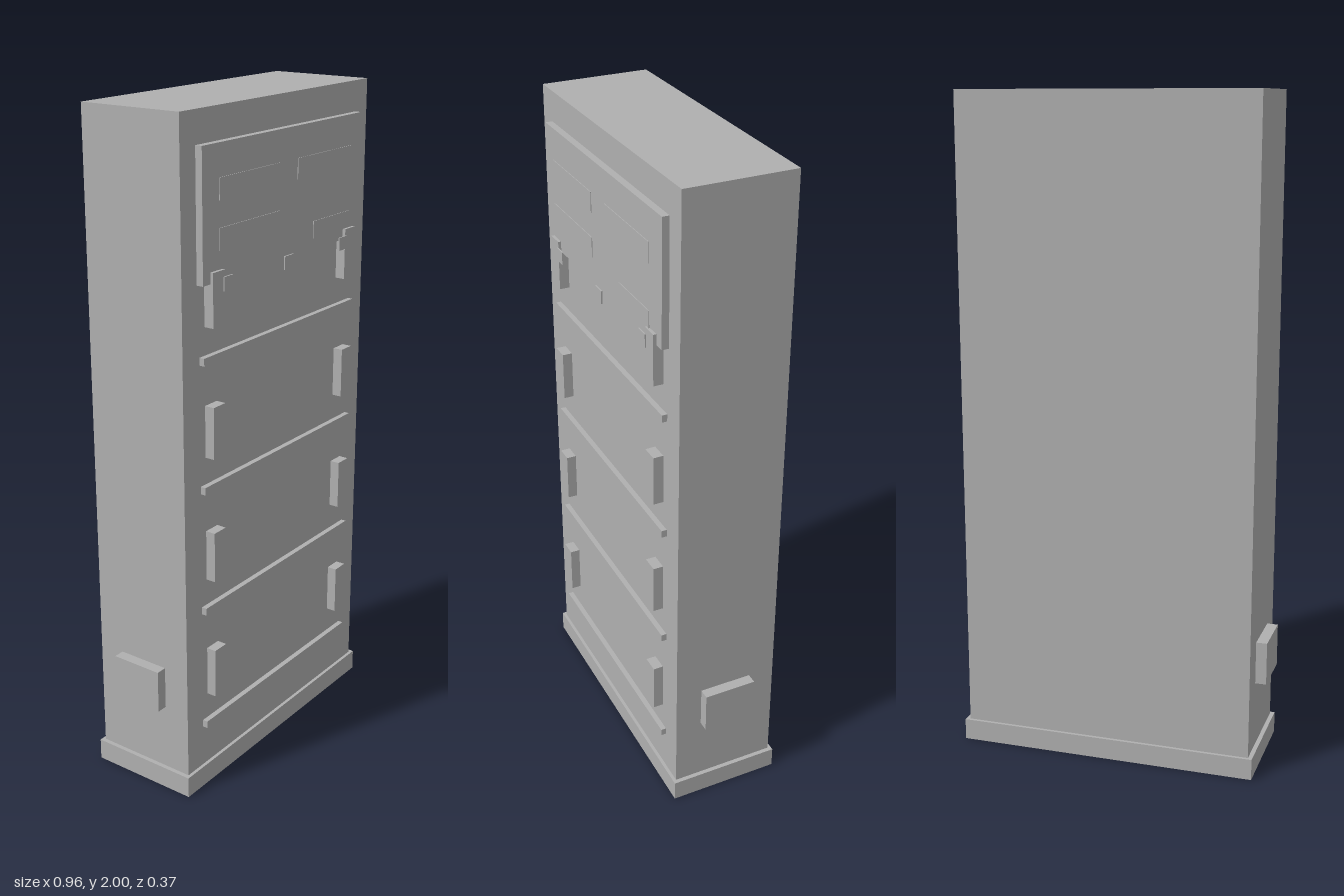
import * as THREE from 'three';

export function createModel() {
  const model = new THREE.Group();
  model.name = 'cabinet';
  const grey = new THREE.MeshStandardMaterial({ color: 0xb0b0b0 });
  grey.name = 'cabinet grey';

  // Box given by its limits on each axis
  function box(name, x0, x1, y0, y1, z0, z1) {
    const mesh = new THREE.Mesh(new THREE.BoxGeometry(x1 - x0, y1 - y0, z1 - z0), grey);
    mesh.position.set((x0 + x1) / 2, (y0 + y1) / 2, (z0 + z1) / 2);
    mesh.name = name;
    model.add(mesh);
  }

  const front = 0.151;

  // Main cabinet and plinth
  box('plinth', -0.461, 0.461, 0, 0.065, -0.184, 0.161);
  box('body', -0.448, 0.448, 0.065, 2, -0.174, front);

  // Raised control panel at the top
  box('controlPanel', -0.384, 0.384, 1.545, 1.91, front, 0.172);

  // Thin label plates standing just off the panel
  box('labelUpperRight', -0.32, -0.046, 1.762, 1.822, 0.178, 0.18);
  box('labelUpperLeft', 0.044, 0.32, 1.762, 1.822, 0.178, 0.18);
  box('labelLowerRight', -0.32, -0.046, 1.63, 1.69, 0.178, 0.18);
  box('labelLowerLeft', 0.13, 0.32, 1.58, 1.63, 0.177, 0.179);

  // Small square buttons below the panel
  for (const x of [-0.286, 0, 0.286]) {
    box('button', x - 0.021, x + 0.021, 1.518, 1.557, 0.18, 0.184);
  }

  // Four drawers: a rail under each and a pair of upright handles
  for (let i = 0; i < 4; i++) {
    const y = i * 0.3755;
    box('drawerRail', -0.375, 0.375, 0.196 + y, 0.218 + y, front, 0.167);
    for (const side of [-1, 1]) {
      const x = side * 0.326;
      box('drawerHandle', x - 0.026, x + 0.026, 0.298 + y, 0.45 + y, front, 0.181);
    }
  }

  // Side boxes near the foot
  box('sideBoxRight', -0.481, -0.448, 0.27, 0.4, -0.093, 0.069);
  box('sideBoxLeft', 0.448, 0.481, 0.27, 0.4, -0.093, 0.069);

  return model;
}
